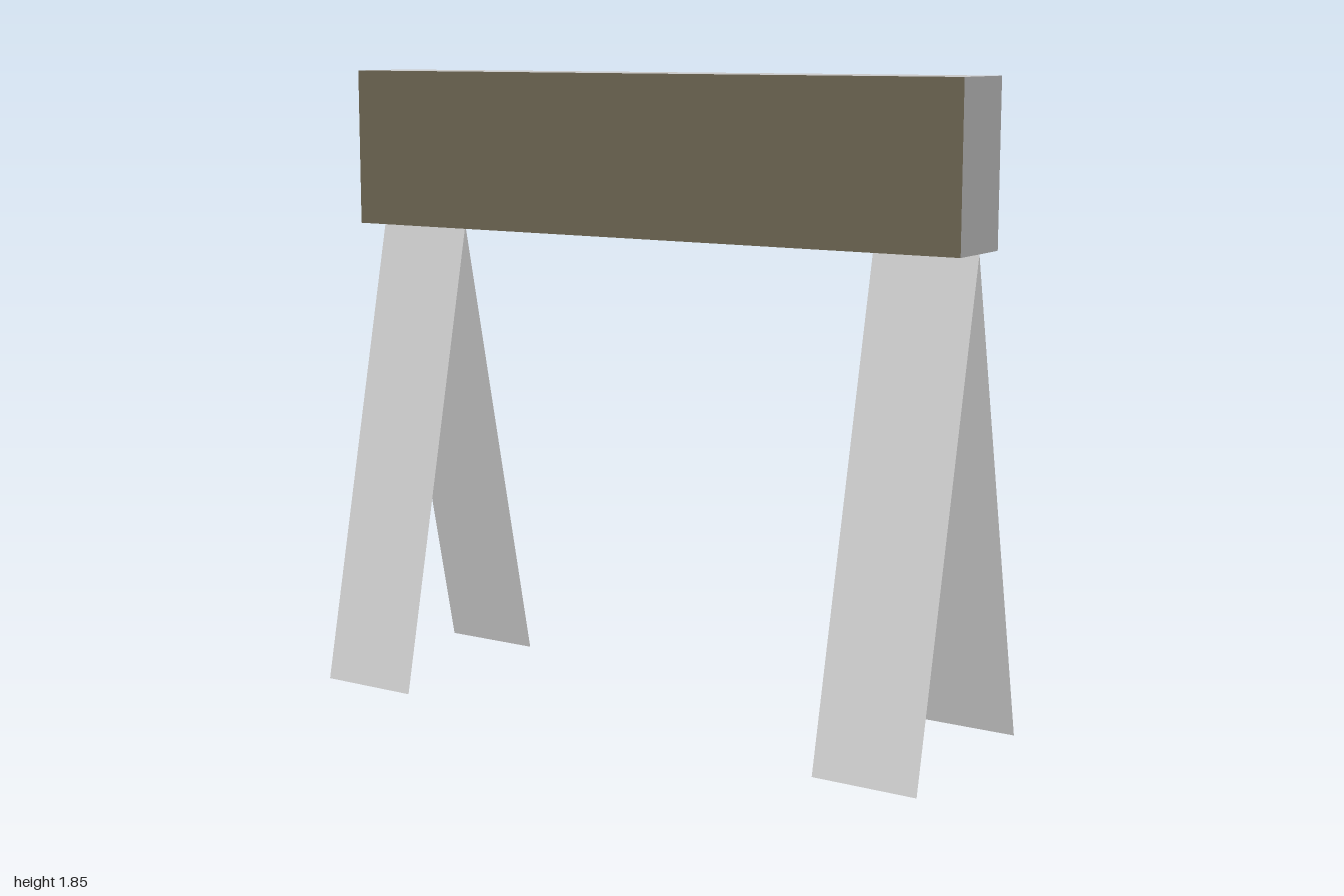
import * as THREE from 'three';

const WIDTH = 2, BEAM_BOTTOM = 1.39, BEAM_TOP = 1.85, BEAM_DEPTH = 0.23;
const LEG_WIDTH = 0.31, LEG_SPREAD = 0.31;

export function createModel() {
  const group = new THREE.Group();
  const grey = new THREE.MeshStandardMaterial({ color: 0xcccccc });
  const legGrey = new THREE.MeshStandardMaterial({ color: 0xcccccc, side: THREE.DoubleSide });
  const panel = new THREE.MeshStandardMaterial({ color: 0x6b6450 });

  // Crossbar: coloured front and back faces, grey ends, top and underside
  const height = BEAM_TOP - BEAM_BOTTOM;
  const crossbar = new THREE.Mesh(
    new THREE.BoxGeometry(WIDTH, height, BEAM_DEPTH),
    [grey, grey, grey, grey, panel, panel]
  );
  crossbar.name = 'crossbar';
  crossbar.position.y = BEAM_BOTTOM + height / 2;
  group.add(crossbar);

  // Splayed flat legs: each pair meets along the centre line under the crossbar
  const legLength = Math.hypot(BEAM_BOTTOM, LEG_SPREAD);
  const tilt = Math.atan2(LEG_SPREAD, BEAM_BOTTOM);
  for (const [sideName, sx] of [['left', 1], ['right', -1]]) {
    for (const [endName, sz] of [['Front', 1], ['Back', -1]]) {
      const leg = new THREE.Mesh(new THREE.PlaneGeometry(LEG_WIDTH, legLength), legGrey);
      leg.name = `${sideName}${endName}Leg`;
      leg.rotation.order = 'YXZ';
      leg.rotation.set(-tilt, sz > 0 ? 0 : Math.PI, 0);
      leg.position.set(sx * (WIDTH - LEG_WIDTH) / 2, BEAM_BOTTOM / 2, sz * LEG_SPREAD / 2);
      group.add(leg);
    }
  }
  return group;
}
